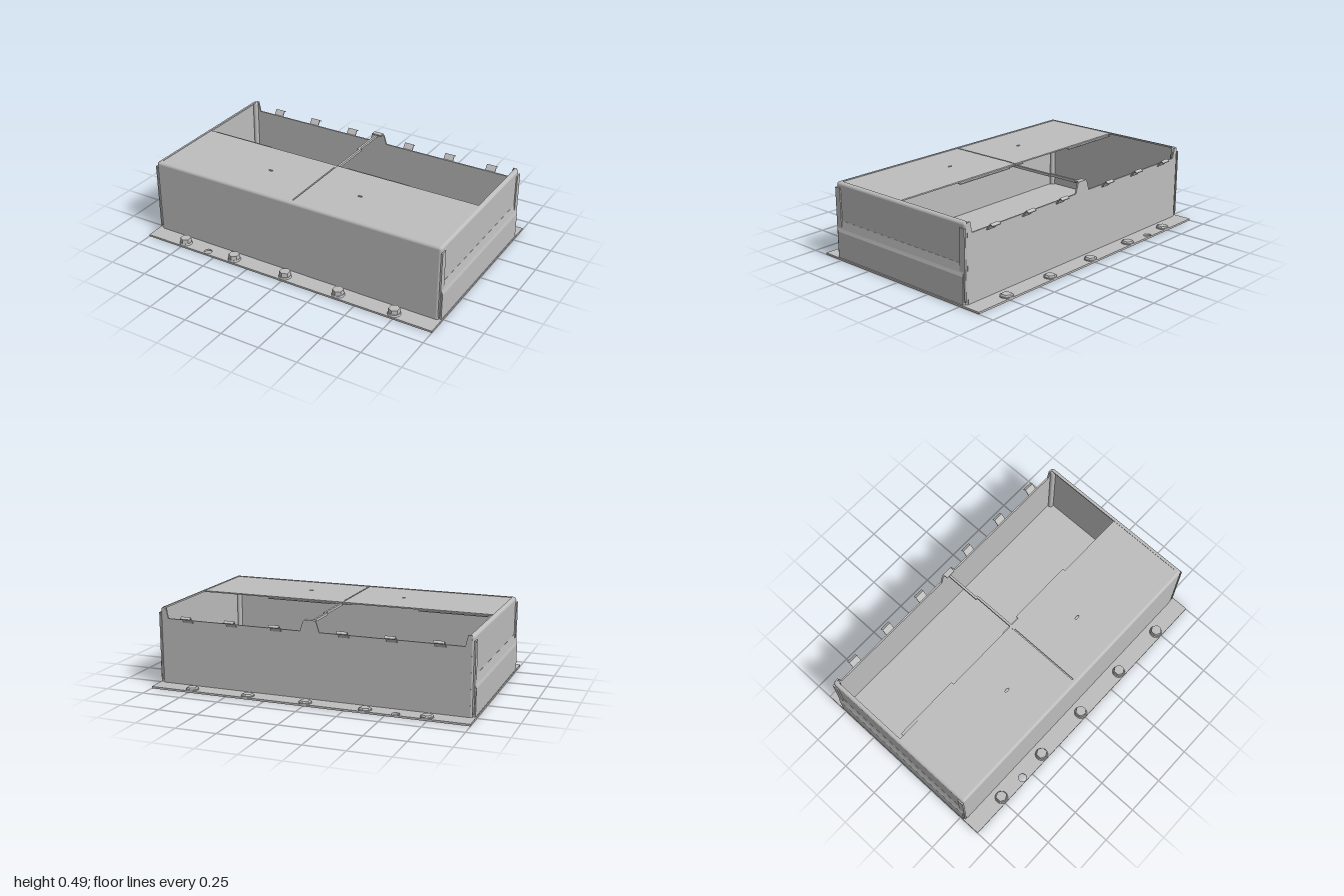
import * as THREE from 'three';

export function createModel() {
  const model = new THREE.Group();
  model.name = 'sheetMetalCase';
  const metal = new THREE.MeshStandardMaterial({ color: 0xbdbdbd });
  metal.name = 'greySteel';

  const add = (name, geo, x = 0, y = 0, z = 0) => {
    const mesh = new THREE.Mesh(geo, metal);
    mesh.name = name;
    mesh.position.set(x, y, z);
    model.add(mesh);
    return mesh;
  };
  const box = (name, w, h, d, x, y, z) => add(name, new THREE.BoxGeometry(w, h, d), x, y, z);
  const polygon = (pts) => new THREE.Shape(pts.map(([x, y]) => new THREE.Vector2(x, y)));
  const rect = (x0, y0, x1, y1) => polygon([[x0, y0], [x1, y0], [x1, y1], [x0, y1]]);
  // Extrudes a cross-section along z, centred on the origin
  const prism = (shape, length) => new THREE.ExtrudeGeometry(shape, {
    depth: length, bevelEnabled: false, curveSegments: 8,
  }).translate(0, 0, -length / 2);
  // Lays a plan (x, -z) down as a plate from y0 upwards
  const plate = (shape, y0, thick) => new THREE.ExtrudeGeometry(shape, {
    depth: thick, bevelEnabled: false, curveSegments: 12,
  }).rotateX(-Math.PI / 2).translate(0, y0, 0);
  const hole = (shape, x, z, rx, ry = rx) => {
    const p = new THREE.Path();
    p.absellipse(x, -z, rx, ry, 0, Math.PI * 2, true);
    shape.holes.push(p);
  };

  const H = 0.488, R = 0.018, T = 0.01, FLOOR = 0.012;
  const boltXs = [-0.74, -0.37, 0, 0.37, 0.74];

  // Base plate with flanges and drilled holes
  const base = rect(-1, -0.645, 1, 0.645);
  hole(base, -0.56, -0.62, 0.025);
  hole(base, -0.56, 0.615, 0.025);
  for (const x of boltXs) {
    hole(base, x, 0.603, 0.03);
    hole(base, x, -0.607, 0.03);
  }
  add('basePlate', plate(base, 0, FLOOR));

  // Wall with a rounded top edge folded inward as a lip
  const lipWall = (outer, lip) => {
    const s = new THREE.Shape();
    s.moveTo(outer - T, FLOOR);
    s.lineTo(outer, FLOOR);
    s.lineTo(outer, H - R);
    s.absarc(outer - R, H - R, R, 0, Math.PI / 2, false);
    s.lineTo(outer - lip, H);
    s.lineTo(outer - lip, H - T);
    s.lineTo(outer - R, H - T);
    s.absarc(outer - R, H - R, R - T, Math.PI / 2, 0, true);
    return s;
  };
  add('frontWall', prism(lipWall(0.535, 0.03), 1.93)).rotation.y = -Math.PI / 2;

  for (const s of [1, -1]) {
    const turn = s > 0 ? 0 : Math.PI;
    const side = s > 0 ? 'left' : 'right';
    add(side + 'Wall', prism(lipWall(0.983, 0.025), 1.036)).rotation.y = turn;
    // Lower side panel with a sloped shoulder
    const skirt = polygon([[0.975, 0.015], [0.998, 0.015], [0.998, 0.18],
      [0.992, 0.2], [0.984, 0.25], [0.975, 0.25]]);
    add(side + 'LowerPanel', prism(skirt, 1.05)).rotation.y = turn;
    for (const z of [1, -1]) {
      // Rounded corner posts and raised corner strips
      add('cornerPost', new THREE.CylinderGeometry(R, R, H - R - FLOOR, 16),
        s * (0.983 - R), (H - R + FLOOR) / 2, z * (0.535 - R));
      add('cornerCap', new THREE.SphereGeometry(R, 16, 8, 0, Math.PI * 2, 0, Math.PI / 2),
        s * (0.983 - R), H - R, z * (0.535 - R));
      box('cornerStrip', 0.01, 0.425, 0.04, s * 0.986, 0.2425, z * 0.515);
    }
  }

  // Back wall: lowered edge, raised corner lugs and a tapered middle tab
  const back = polygon([[-0.968, FLOOR], [0.968, FLOOR], [0.968, H - 0.003], [0.945, H - 0.003],
    [0.93, 0.42], [0.06, 0.42], [0.043, 0.475], [0.032, H], [-0.032, H], [-0.043, 0.475],
    [-0.06, 0.42], [-0.93, 0.42], [-0.945, H - 0.003], [-0.968, H - 0.003]]);
  add('backWall', prism(back, T), 0, 0, -0.53);
  box('middleTabLip', 0.064, 0.008, 0.03, 0, H - 0.004, -0.515);

  // Bent spring clips on the back edge
  const clip = polygon([[0.53, 0.405], [0.542, 0.405], [0.566, 0.441], [0.582, 0.432],
    [0.583, 0.437], [0.565, 0.448], [0.536, 0.412], [0.53, 0.412]]);
  for (const x of [-0.79, -0.505, -0.215, 0.21, 0.5, 0.79]) {
    add('clip', prism(clip, 0.065), x).rotation.y = Math.PI / 2;
  }

  // Two cover panels over the front half, split by a narrow seam
  for (const s of [1, -1]) {
    const x0 = s > 0 ? 0.004 : -0.96, x1 = s > 0 ? 0.96 : -0.004;
    const cover = rect(x0, -0.51, x1, 0);
    hole(cover, s * 0.315, 0.26, 0.015, 0.007);
    add('coverPanel', plate(cover, H - 0.011, 0.008));
  }
  box('seamBacking', 0.03, 0.006, 0.5, 0, H - 0.018, 0.26);
  box('rightCoverTongue', 0.43, 0.006, 0.022, -0.715, H - 0.014, -0.008);
  box('leftCoverTongue', 0.43, 0.006, 0.022, 0.285, H - 0.014, -0.008);

  // Divider rail across the open half, in two staggered pieces
  box('dividerRailBack', 0.014, 0.016, 0.25, -0.006, H - 0.016, -0.4);
  box('dividerRailFront', 0.014, 0.016, 0.29, 0.005, H - 0.016, -0.14);
  box('railJoint', 0.13, 0.005, 0.014, 0, H - 0.014, 0);
  box('railTongue', 0.014, 0.004, 0.04, 0, H - 0.003, 0.015);

  // Hex bolts: tall washer-head ones in front, low ones at the back
  const hex = (r0, r1, h) => {
    const g = new THREE.CylinderGeometry(r0, r1, h, 6).toNonIndexed();
    g.computeVertexNormals();
    return g;
  };
  for (const x of boltXs) {
    add('frontWasher', new THREE.CylinderGeometry(0.036, 0.04, 0.01, 24), x, FLOOR + 0.005, 0.603);
    add('frontBoltHead', hex(0.034, 0.036, 0.028), x, 0.035, 0.603);
    add('backWasher', new THREE.CylinderGeometry(0.04, 0.04, 0.006, 24), x, FLOOR + 0.003, -0.607);
    add('backBoltHead', hex(0.03, 0.038, 0.009), x, 0.0225, -0.607);
  }
  return model;
}
